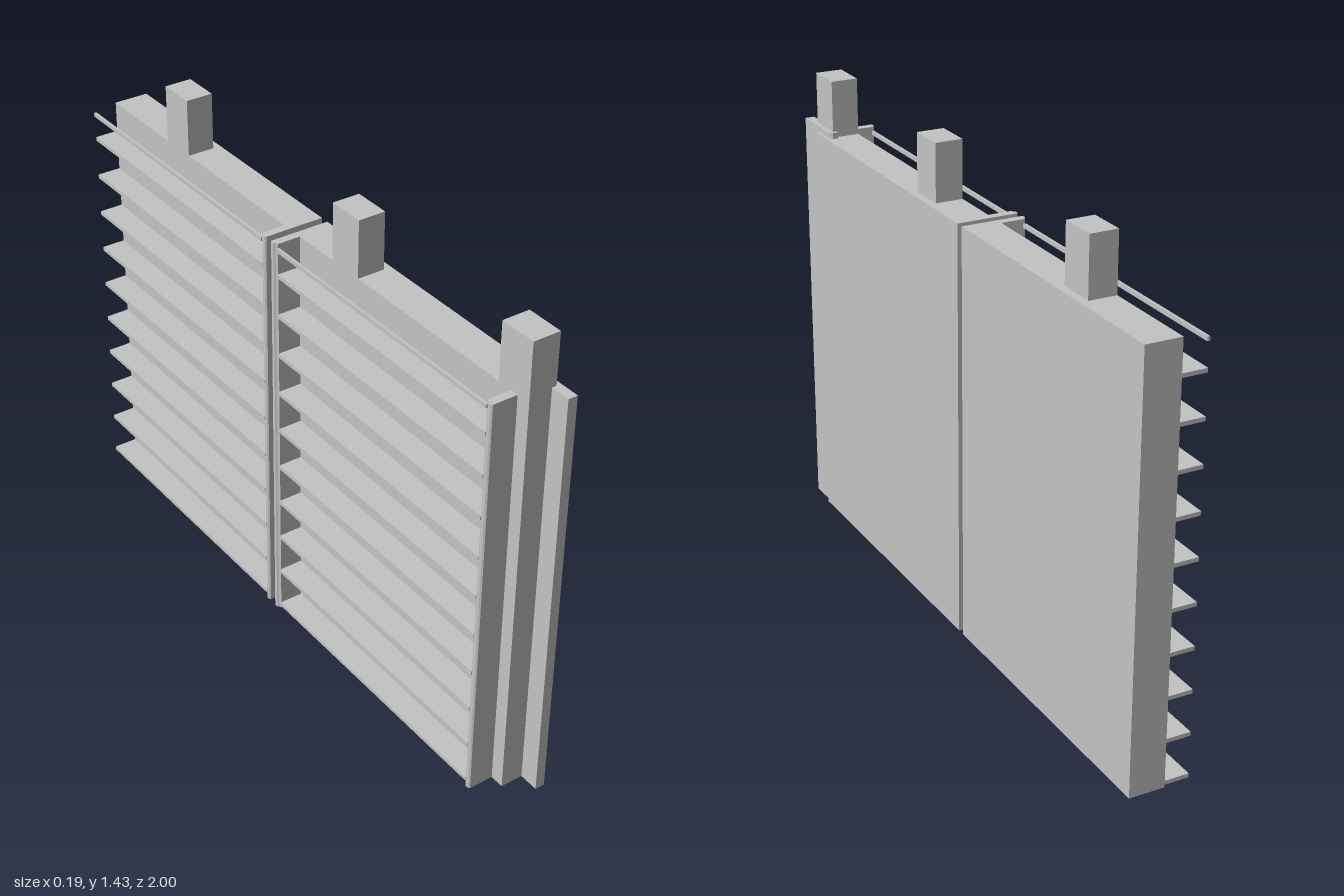
import * as THREE from 'three';

export function createModel() {
  const model = new THREE.Group();
  const grey = new THREE.MeshStandardMaterial({ color: 0xc4c4c4 });
  grey.name = 'light grey';

  const H = 1.257; // panel height
  const FACE = -0.015; // louvre side of the panel

  // Box given by its limits on each axis
  const box = (name, parent, x0, x1, y0, y1, z0, z1) => {
    const mesh = new THREE.Mesh(new THREE.BoxGeometry(x1 - x0, y1 - y0, z1 - z0), grey);
    mesh.position.set((x0 + x1) / 2, (y0 + y1) / 2, (z0 + z1) / 2);
    mesh.name = name;
    parent.add(mesh);
  };

  // Vertical extrusion of a plan outline given as [x, z] points
  const upright = (name, parent, points, height) => {
    const shape = new THREE.Shape(points.map(([x, z]) => new THREE.Vector2(x, -z)));
    const geometry = new THREE.ExtrudeGeometry(shape, { depth: height, bevelEnabled: false });
    geometry.rotateX(-Math.PI / 2);
    const mesh = new THREE.Mesh(geometry, grey);
    mesh.name = name;
    parent.add(mesh);
  };

  // Side flange with a small rounded nose; dir points to the outside of the panel
  const flange = (parent, outer, dir) => {
    const z = (d) => outer - dir * d;
    upright('sideFlange', parent, [
      [FACE, z(0)], [-0.09, z(0)], [-0.094, z(0.004)], [-0.094, z(0.014)],
      [-0.089, z(0.018)], [-0.086, z(0.025)], [FACE, z(0.025)],
    ], H);
  };

  // Solid panel with horizontal louvres between its flanges
  const panel = (name, z0, z1, slat0, slat1) => {
    const group = new THREE.Group();
    group.name = name;
    model.add(group);
    box('panelBody', group, FACE, 0.092, 0, H, z0, z1);
    for (let i = 0; i < 10; i++) {
      const y = 0.008 + i * 0.127;
      box('louvreSlat', group, -0.088, FACE, y, y + 0.012, slat0, slat1);
    }
    box('topRail', group, -0.09, -0.082, 1.232, 1.244, slat0, slat1);
    return group;
  };

  const front = panel('frontPanel', -0.047, 0.897, -0.022, 0.872);
  flange(front, -0.047, -1);
  flange(front, 0.897, 1);
  const rear = panel('rearPanel', -1, -0.072, -1, -0.097);
  flange(rear, -0.072, 1);

  // Posts; the end one runs down to the ground
  for (const [z0, y0] of [[0.825, 0], [0.13, H], [-0.7, H]]) {
    box('post', model, FACE, 0.068, y0, 1.43, z0, z0 + 0.115);
  }

  // End closing strip with a small hooked inner edge
  upright('endStrip', model, [
    [0.054, 1], [0.054, 0.83], [0.058, 0.812], [0.074, 0.812], [0.083, 0.825], [0.083, 1],
  ], 1.275);

  return model;
}
